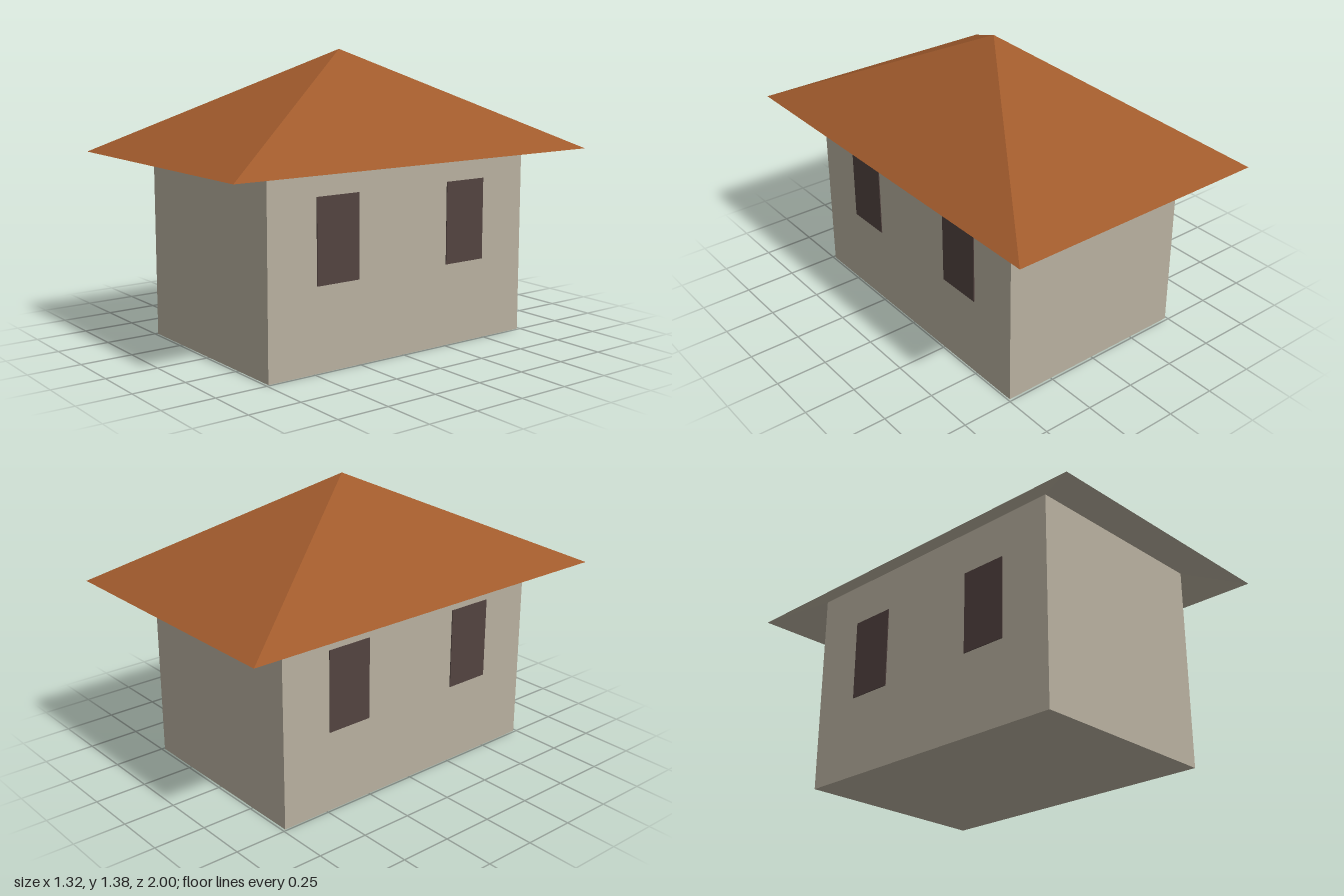
import * as THREE from 'three';

const material = (name, color) => {
  const m = new THREE.MeshStandardMaterial({ color });
  m.name = name;
  return m;
};

// Four flat sides joining a lower rectangle to an upper one (half sizes), facing out or down
function taperedSides([x0, y0, z0], [x1, y1, z1], faceDown = false) {
  const signs = [[1, 1], [1, -1], [-1, -1], [-1, 1]];
  const points = [];
  for (let i = 0; i < 4; i++) {
    const [a, b] = [signs[i], signs[(i + 1) % 4]];
    const p = [a[0] * x0, y0, a[1] * z0], q = [b[0] * x0, y0, b[1] * z0];
    const r = [b[0] * x1, y1, b[1] * z1], s = [a[0] * x1, y1, a[1] * z1];
    const triangles = x1 === 0 ? [[p, q, r]] : [[p, q, r], [p, r, s]];
    for (const t of triangles) points.push(...(faceDown ? t.reverse() : t).flat());
  }
  const geometry = new THREE.BufferGeometry();
  geometry.setAttribute('position', new THREE.Float32BufferAttribute(points, 3));
  geometry.computeVertexNormals();
  return geometry;
}

export function createModel() {
  const house = new THREE.Group();
  house.name = 'house';
  const plaster = material('plaster', 0xb8b09f);
  const tile = material('roofTile', 0xa05a2c);
  const glass = material('darkWindow', 0x524340);

  const add = (name, geometry, mat, x = 0, y = 0, z = 0) => {
    const mesh = new THREE.Mesh(geometry, mat);
    mesh.name = name;
    mesh.position.set(x, y, z);
    house.add(mesh);
  };

  const wallX = 0.491, wallZ = 0.737, wallTop = 0.985;
  const eave = [0.662, 0.9, 1];

  // Walls reach up behind the eaves
  add('walls', new THREE.BoxGeometry(wallX * 2, wallTop, wallZ * 2), plaster, 0, wallTop / 2, 0);

  // Hipped roof meeting in a point, with sloping plaster eaves beneath
  add('roof', taperedSides(eave, [0, 1.383, 0]), tile);
  add('eavesUnderside', taperedSides(eave, [wallX, wallTop, wallZ], true), plaster);

  // Two windows on each long wall
  const pane = new THREE.BoxGeometry(0.006, 0.39, 0.228);
  for (const side of [-1, 1])
    for (const z of [-0.37, 0.37])
      add(side > 0 ? 'leftWindow' : 'rightWindow', pane, glass, side * (wallX + 0.001), 0.585, z);

  return house;
}
